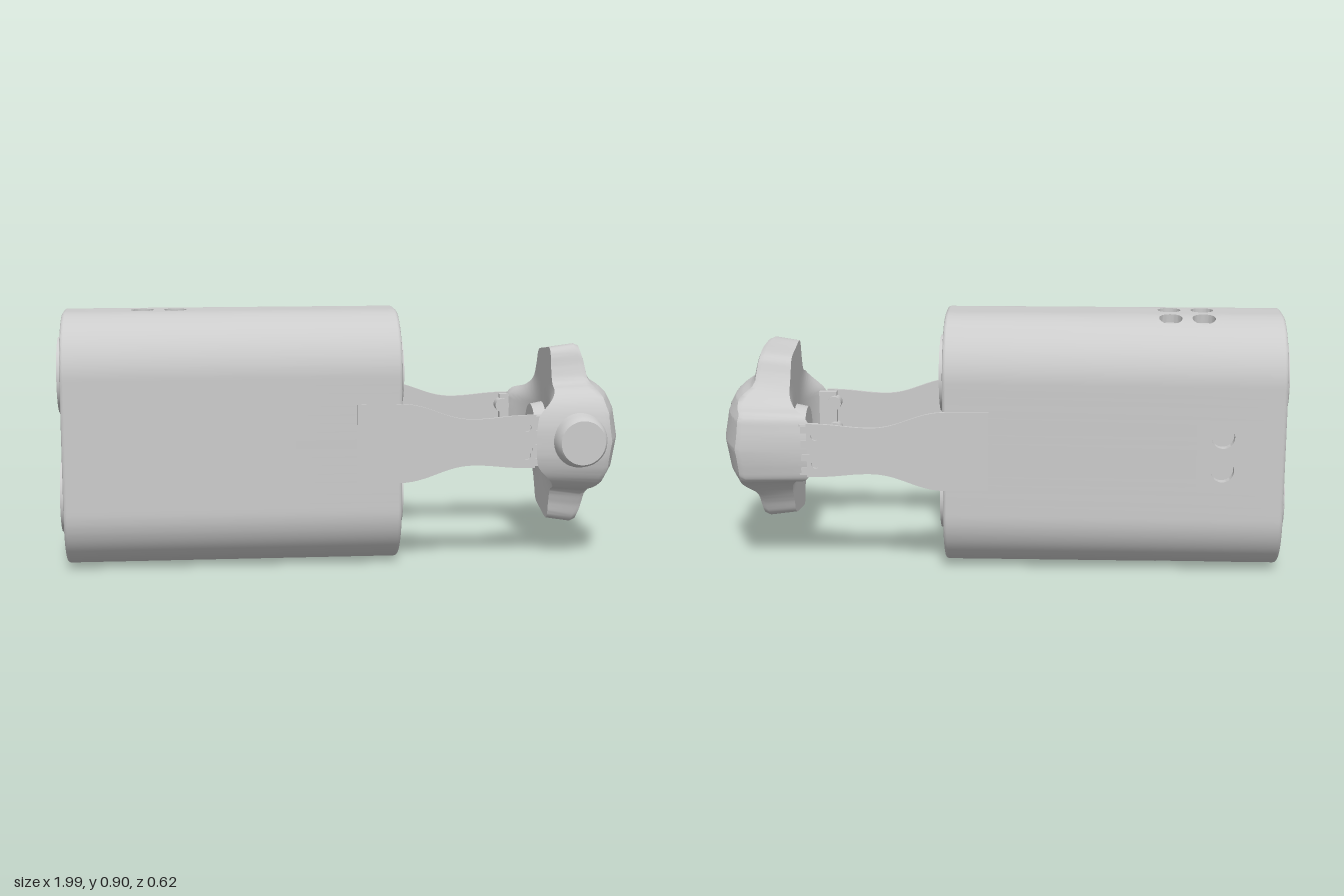
import * as THREE from 'three';
import { toCreasedNormals, mergeGeometries } from 'three/addons/utils/BufferGeometryUtils.js';

const MAT = new THREE.MeshStandardMaterial({ color: 0xcccccc, side: THREE.DoubleSide });
const CY = 0.45, CZ = -0.027;

// Grid surface from a rule fn(u, v) -> [x, y, z]; faces look along du x dv
function patch(nu, nv, fn) {
  const pos = [], idx = [];
  for (let i = 0; i <= nu; i++) for (let j = 0; j <= nv; j++) pos.push(...fn(i / nu, j / nv));
  for (let i = 0; i < nu; i++) for (let j = 0; j < nv; j++) {
    const a = i * (nv + 1) + j, b = a + nv + 1;
    idx.push(a, b, a + 1, b, b + 1, a + 1);
  }
  const g = new THREE.BufferGeometry();
  g.setAttribute('position', new THREE.Float32BufferAttribute(pos, 3));
  g.setIndex(idx);
  return g;
}

// Linear look-up in a list of [key, value]
function lookup(table, k) {
  for (let i = 1; i < table.length; i++) {
    const [a, va] = table[i - 1], [b, vb] = table[i];
    if (k <= b) return va + (vb - va) * Math.max(0, (k - a) / (b - a));
  }
  return table[table.length - 1][1];
}

// Case: rounded profile swept along x, with sunk round holes
function caseGeometry() {
  const W = 0.2625, H = 0.45, r = 0.215, a = W - r, b = H - r, P = Math.PI;
  const path = new THREE.Path();
  path.moveTo(0, H).lineTo(a, H).absarc(a, b, r, P / 2, 0, true)
    .lineTo(W, -b).absarc(a, -b, r, 0, -P / 2, true)
    .lineTo(-a, -H).absarc(-a, -b, r, -P / 2, -P, true)
    .lineTo(-W, b).absarc(-a, b, r, P, P / 2, true).lineTo(0, H);
  const L = path.getLength();
  const skin = (x, s, d = 0) => {
    const t = (((s / L) % 1) + 1) % 1, p = path.getPoint(t), n = path.getTangent(t);
    return [x, CY + p.y + n.x * d, CZ - p.x + n.y * d];
  };
  const X0 = -0.968, X1 = 0.188, bev = 0.012, parts = [];
  const strip = (x0, x1, s0, s1) => parts.push(patch(1, Math.ceil((s1 - s0) / 0.015),
    (u, v) => skin(x0 + (x1 - x0) * u, s0 + (s1 - s0) * v)));
  // square cell with a round hole: centre of floor, floor edge, rim, cell border
  const holeCell = (x, s, size) => parts.push(patch(3, 48, (u, v) => {
    const t = v * 2 * P, c = Math.cos(t), q = Math.sin(t), k = Math.round(u * 3);
    const R = [0, 0.04, 0.04, size / 2 / Math.max(Math.abs(c), Math.abs(q))][k];
    return skin(x + c * R, s + q * R, k < 2 ? -0.03 : 0);
  }));
  // bands around the profile: [start, end, rows of holes, columns in x, cell size]
  const h = 0.115, top = 0.0455, bot = L / 2 - top, back = L / 4, cols = [-0.7, -0.585];
  const bands = [
    [top - h, top + h, 2, cols, h],
    [back - 0.12, back + 0.12, 2, [-0.765], 0.12],
    [bot - h, bot + h, 2, cols, h],
  ];
  bands.forEach(([s0, s1, rows, xs, size], i) => {
    strip(X0, xs[0] - size / 2, s0, s1);
    strip(xs[xs.length - 1] + size / 2, X1, s0, s1);
    for (const x of xs) for (let k = 0; k < rows; k++) holeCell(x, s0 + size * (k + 0.5), size);
    strip(X0, X1, s1, i < 2 ? bands[i + 1][0] : L + bands[0][0]);
  });
  // bevelled end caps
  for (const e of [1, -1]) parts.push(patch(5, 160, (u, v) => {
    const k = Math.min(u * 5 / 4, 1) * P / 2;
    const x = (e > 0 ? X1 : X0) + e * bev * Math.sin(k);
    return u === 1 ? [x, CY, CZ] : skin(x, e * v * L, -bev * (1 - Math.cos(k)));
  }));
  return toCreasedNormals(mergeGeometries(parts), 0.7);
}

// Head: rings running from the sunken four-lobed face, over the rim, to the back
function headGeometry() {
  const half = [[0.27, 0], [0.265, 0.07], [0.24, 0.14], [0.2, 0.18], [0.15, 0.2], [0.125, 0.25],
    [0.109, 0.305], [0.09, 0.323], [0, 0.314], [-0.098, 0.296], [-0.115, 0.283], [-0.14, 0.235],
    [-0.18, 0.18], [-0.23, 0.14], [-0.285, 0.118], [-0.3, 0.07], [-0.306, 0]];
  const pts = half.concat(half.slice(1, -1).reverse().map(([z, y]) => [z, -y]));
  const N = 240;
  const rim = new THREE.CatmullRomCurve3(pts.map(([z, y]) => new THREE.Vector3(0, y, z)), true, 'centripetal')
    .getSpacedPoints(N);
  const dome = [[0, 1], [0.1, 0.983], [0.15, 0.957], [0.17, 0.935], [0.19, 0.903], [0.21, 0.888],
    [0.27, 0.873], [0.33, 0.85]];
  const front = (y, z) => lookup(dome, Math.abs(y)) - 0.9 * z * z;
  const rear = (y, z) => 0.745 - 0.085 * Math.min(1, Math.abs(z / 0.27)) ** 3
    * (1 - THREE.MathUtils.smoothstep(Math.abs(y), 0.08, 0.19));
  const A = 22, B = 14, rows = A + B + 5;
  return toCreasedNormals(patch(rows, N, (u, v) => {
    const p = rim[N - Math.round(v * N)], k = Math.round(u * rows);
    const ang = Math.atan2(p.y, p.z), R = Math.hypot(p.y, p.z);
    const lobe = 0.119 - 0.034 * Math.cos(4 * ang);
    let rad, x;
    const at = (q) => [Math.sin(ang) * q, Math.cos(ang) * q];
    if (k < 2) { rad = k * lobe * 0.82; x = 0.955; }
    else if (k <= A + 2) {
      rad = lobe + (R * 0.975 - lobe) * (k - 2) / A;
      x = front(...at(rad));
    } else if (k === A + 3) { rad = R; x = front(...at(R)) - 0.015; }
    else {
      rad = R * 0.96 * (1 - (k - A - 4) / (B + 1));
      x = rear(...at(rad));
    }
    const [y, z] = at(rad);
    return [x, CY + y, z];
  }), 0.6);
}

// Side arm: waisted plate with two screw holes
function armGeometry() {
  const s = new THREE.Shape();
  s.moveTo(0.04, 0.31).lineTo(0.2, 0.31);
  s.bezierCurveTo(0.3, 0.315, 0.35, 0.368, 0.45, 0.368);
  s.bezierCurveTo(0.53, 0.368, 0.56, 0.355, 0.67, 0.355);
  s.lineTo(0.67, 0.545);
  s.bezierCurveTo(0.56, 0.545, 0.53, 0.532, 0.45, 0.532);
  s.bezierCurveTo(0.35, 0.532, 0.3, 0.585, 0.2, 0.59);
  s.lineTo(0.04, 0.59);
  for (const y of [0.4, 0.5]) s.holes.push(new THREE.Path().absarc(0.64, y, 0.014, 0, Math.PI * 2, true));
  return new THREE.ExtrudeGeometry(s, { depth: 0.01, bevelEnabled: false, curveSegments: 16 });
}

export function createModel() {
  const model = new THREE.Group();
  const add = (name, geo, x = 0, y = 0, z = 0, parent = model) => {
    const m = new THREE.Mesh(geo, MAT);
    m.name = name;
    m.position.set(x, y, z);
    parent.add(m);
    return m;
  };

  add('case', caseGeometry());

  // raised discs on both ends
  for (const y of [0.235, 0.67]) for (const x of [-0.985, 0.205]) {
    add('endDisc', new THREE.CylinderGeometry(0.135, 0.135, 0.03, 64), x, y, CZ).rotation.z = Math.PI / 2;
  }

  // arms with their hinge blocks and screw bosses
  for (const [side, z, inward] of [['front', 0.227, -1], ['back', -0.297, 1]]) {
    const g = new THREE.Group();
    g.name = side + 'Arm';
    model.add(g);
    add('armPlate', armGeometry(), 0, 0, z, g);
    const face = inward < 0 ? z : z + 0.01;
    add('hingeBlock', new THREE.BoxGeometry(0.065, 0.18, 0.025), 0.665, CY, face + inward * 0.0125, g);
    for (const y of [0.4, 0.5]) {
      add('screwBoss', new THREE.CylinderGeometry(0.026, 0.026, 0.045, 24), 0.64, y, face + inward * 0.0225, g)
        .rotation.x = Math.PI / 2;
    }
    for (let i = 0; i < 4; i++) {
      add('hingeTooth', new THREE.BoxGeometry(0.03, 0.025, 0.012), 0.675, 0.375 + i * 0.05, z + 0.005, g);
    }
  }

  // head with crown and rear cushion
  add('head', headGeometry());
  const crown = [[0, 0], [0.098, 0], [0.092, 0.025], [0.085, 0.052], [0.078, 0.06], [0, 0.06]]
    .map(([r, h]) => new THREE.Vector2(r, h));
  add('crown', toCreasedNormals(new THREE.LatheGeometry(crown, 48), 0.5), 0.825, 0.455, 0.25).rotation.x = Math.PI / 2;
  add('rearCushion', new THREE.CylinderGeometry(0.1, 0.09, 0.05, 48), 0.728, CY, -0.03).rotation.z = -Math.PI / 2;

  return model;
}
